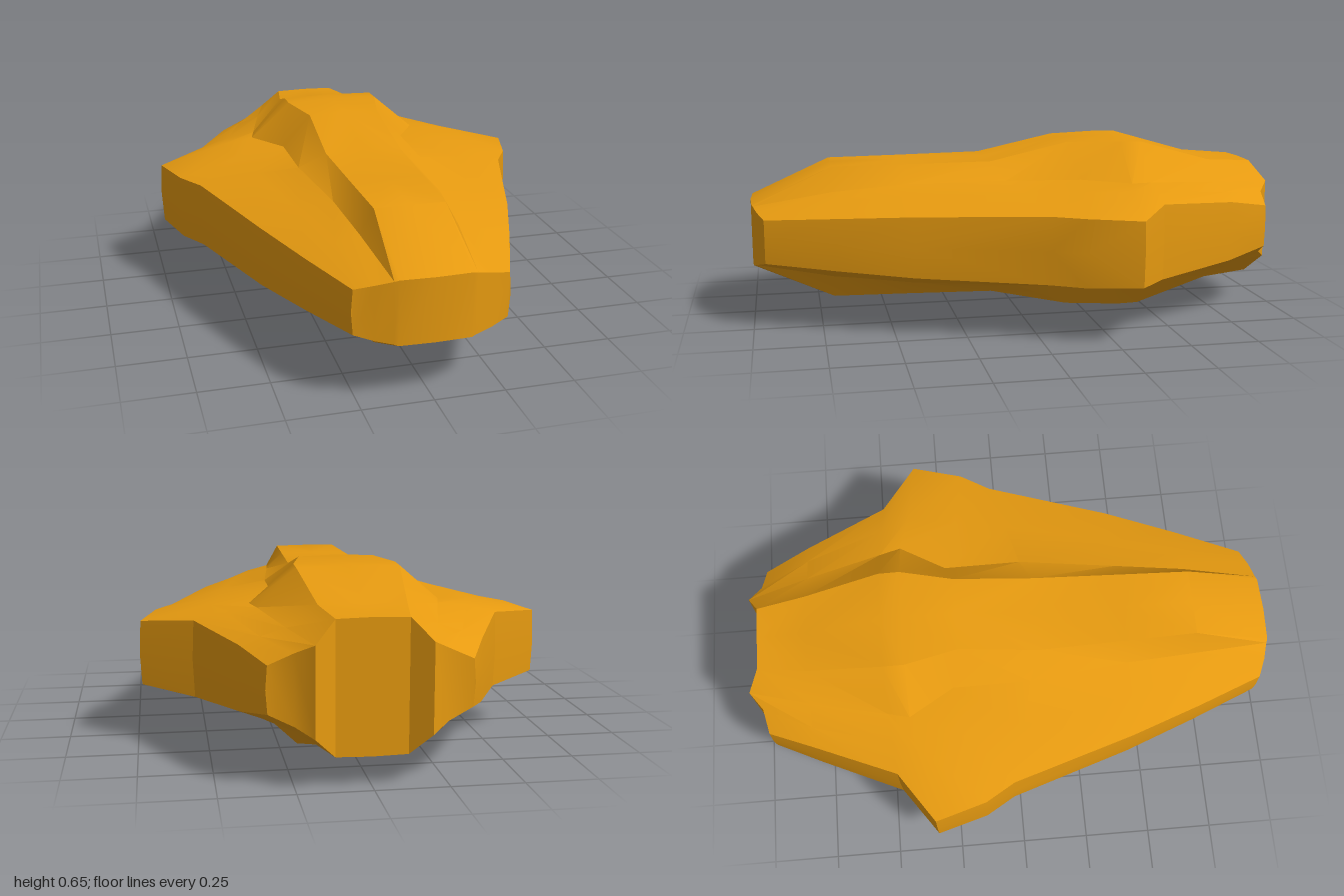
import * as THREE from 'three';
import { toCreasedNormals } from 'three/addons/utils/BufferGeometryUtils.js';

const MID = 0.33; // height of the horizontal mirror plane

// Stations from nose to tail. Each holds the upper right quarter of the section
// as [x, height above mid plane, z]: centre, spine edge, spine foot, deck, rim.
const STATIONS = [
  [[0, 0.115, 1.0], [0.125, 0.115, 0.995], [0.14, 0.11, 0.99], [0.2, 0.097, 0.975], [0.265, 0.08, 0.95]],
  [[0, 0.25, 0.7], [0.126, 0.248, 0.7], [0.175, 0.16, 0.7], [0.26, 0.138, 0.7], [0.365, 0.095, 0.7]],
  [[0, 0.252, 0.43], [0.135, 0.25, 0.43], [0.2, 0.185, 0.43], [0.32, 0.16, 0.43], [0.465, 0.11, 0.43]],
  [[0, 0.256, 0.1], [0.146, 0.254, 0.1], [0.245, 0.193, 0.06], [0.41, 0.17, 0.02], [0.61, 0.122, -0.03]],
  [[0, 0.325, -0.2], [0.14, 0.32, -0.2], [0.245, 0.188, -0.23], [0.44, 0.174, -0.18], [0.675, 0.122, -0.14]],
  [[0, 0.327, -0.4], [0.185, 0.322, -0.4], [0.345, 0.184, -0.4], [0.48, 0.175, -0.36], [0.73, 0.117, -0.33]],
  [[0, 0.325, -0.48], [0.185, 0.32, -0.48], [0.325, 0.182, -0.48], [0.435, 0.168, -0.47], [0.545, 0.138, -0.46]],
  [[0, 0.24, -0.77], [0.15, 0.238, -0.77], [0.255, 0.165, -0.77], [0.34, 0.138, -0.77], [0.41, 0.112, -0.77]],
  [[0, 0.228, -0.955], [0.12, 0.225, -0.955], [0.19, 0.152, -1.0], [0.25, 0.12, -0.955], [0.335, 0.08, -0.94]],
];

// Mirror a quarter section into a closed ring of 20 points
function ring(quarter) {
  const rim = quarter[4];
  const q = [...quarter, [rim[0] + 0.006, 0, rim[2]]];
  const pts = [];
  for (let k = 0; k < 20; k++) {
    const left = k > 10;
    const j = left ? 20 - k : k;
    const below = j > 5;
    const [x, h, z] = q[below ? 10 - j : j];
    pts.push([left ? -x : x, MID + (below ? -h : h), z]);
  }
  return pts;
}

function hullGeometry() {
  const rings = STATIONS.map(ring);
  const pos = rings.flat(2);
  const index = [];
  const tri = (a, b, c) => {
    if (a !== b && b !== c && a !== c) index.push(a, b, c);
  };

  // Skin between neighbouring stations, split the same way on both sides
  for (let s = 0; s < rings.length - 1; s++) {
    for (let i = 0; i < 20; i++) {
      const n = (i + 1) % 20;
      const a = s * 20 + i, b = s * 20 + n, c = a + 20, d = b + 20;
      const flip = (i >= 5 && i < 10) || i >= 15;
      if (flip) {
        tri(a, b, d);
        tri(a, d, c);
      } else {
        tri(a, b, c);
        tri(b, d, c);
      }
    }
  }

  // Nose and tail faces, in vertical strips from side to side
  const tail = (rings.length - 1) * 20;
  for (let k = -5; k < 5; k++) {
    const t0 = (k + 20) % 20, t1 = (k + 21) % 20;
    const b0 = 10 - k, b1 = 9 - k;
    tri(t0, b0, t1);
    tri(b0, b1, t1);
    tri(tail + t0, tail + t1, tail + b0);
    tri(tail + b0, tail + t1, tail + b1);
  }

  const geo = new THREE.BufferGeometry();
  geo.setAttribute('position', new THREE.Float32BufferAttribute(pos, 3));
  geo.setIndex(index);
  return toCreasedNormals(geo, 0.5);
}

export function createModel() {
  const group = new THREE.Group();
  group.name = 'armouredHull';
  const hull = new THREE.Mesh(hullGeometry(), new THREE.MeshStandardMaterial({ color: 0xe69a10 }));
  hull.name = 'hull';
  group.add(hull);
  return group;
}
